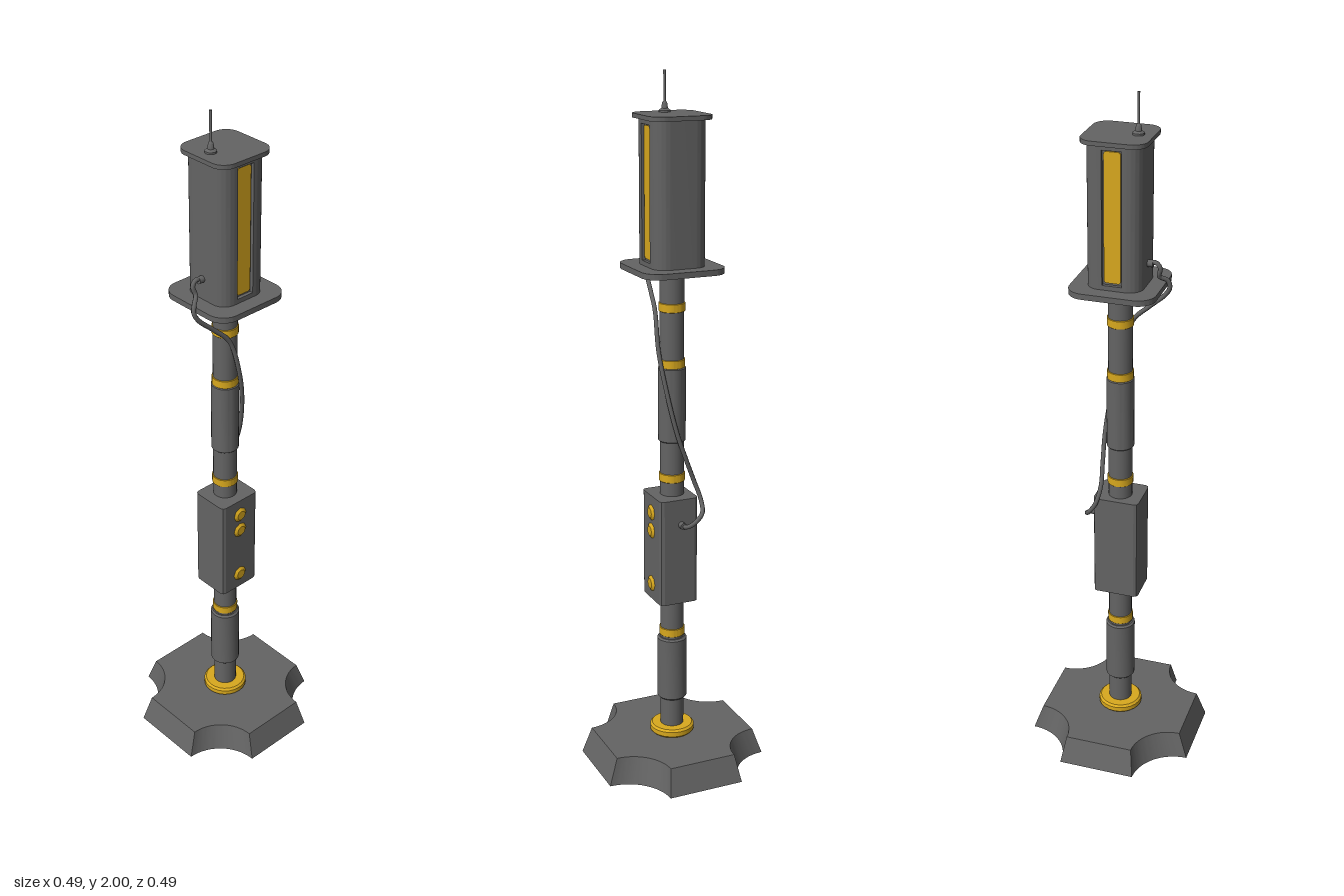
import * as THREE from 'three';
import { toCreasedNormals } from 'three/addons/utils/BufferGeometryUtils.js';

const grey = new THREE.MeshStandardMaterial({ color: 0x646464 });
grey.name = 'grey metal';
const yellow = new THREE.MeshStandardMaterial({ color: 0xd9a91e });
yellow.name = 'yellow paint';

export function createModel() {
  const root = new THREE.Group();
  root.name = 'sensorPost';

  const add = (name, geo, mat, x = 0, y = 0, z = 0) => {
    const mesh = new THREE.Mesh(geo, mat);
    mesh.name = name;
    mesh.position.set(x, y, z);
    root.add(mesh);
    return mesh;
  };

  // Extrude a plan outline upwards from y0 to y1
  const slab = (shape, height, curveSegments = 8) => {
    const g = new THREE.ExtrudeGeometry(shape, { depth: height, bevelEnabled: false, curveSegments });
    return g.rotateX(-Math.PI / 2);
  };

  // Rounded rectangle, optionally with a notch in its front and back
  const roundRect = (hw, hd, r, notchW = 0, notchD = 0) => {
    const s = new THREE.Shape();
    s.moveTo(-hw + r, -hd);
    if (notchW) {
      s.lineTo(-notchW, -hd).lineTo(-notchW, -hd + notchD);
      s.lineTo(notchW, -hd + notchD).lineTo(notchW, -hd);
    }
    s.lineTo(hw - r, -hd);
    s.absarc(hw - r, -hd + r, r, -Math.PI / 2, 0);
    s.absarc(hw - r, hd - r, r, 0, Math.PI / 2);
    if (notchW) {
      s.lineTo(notchW, hd).lineTo(notchW, hd - notchD);
      s.lineTo(-notchW, hd - notchD).lineTo(-notchW, hd);
    }
    s.absarc(-hw + r, hd - r, r, Math.PI / 2, Math.PI);
    s.absarc(-hw + r, -hd + r, r, Math.PI, Math.PI * 1.5);
    return s;
  };

  // Solid of revolution with crisp edges
  const turned = (pts, segments = 24) => toCreasedNormals(
    new THREE.LatheGeometry(pts.map(([r, y]) => new THREE.Vector2(r, y)), segments), 0.5);

  // Chamfered sleeve around the pole
  const sleeve = (r, y0, y1, c) => turned([
    [0.03, y0], [r - c, y0], [r, y0 + c], [r, y1 - c], [r - c, y1], [0.03, y1]]);

  // Foot: a square with scooped corners, tapering towards the top
  const H = 0.245, R = 0.132;
  const foot = new THREE.Shape();
  foot.moveTo(-H + R, -H);
  foot.lineTo(H - R, -H);
  foot.absarc(H, -H, R, Math.PI, Math.PI / 2, true);
  foot.absarc(H, H, R, Math.PI * 1.5, Math.PI, true);
  foot.absarc(-H, H, R, 0, -Math.PI / 2, true);
  foot.absarc(-H, -H, R, Math.PI / 2, 0, true);
  const footGeo = slab(foot, 0.078, 12);
  const p = footGeo.attributes.position;
  for (let i = 0; i < p.count; i++) {
    if (p.getY(i) > 0.04) p.setXYZ(i, p.getX(i) * 0.89, p.getY(i), p.getZ(i) * 0.89);
  }
  footGeo.computeVertexNormals();
  add('foot', toCreasedNormals(footGeo, 0.4), grey);

  // Pole with its collar, sleeves and painted bands
  add('pole', new THREE.CylinderGeometry(0.034, 0.034, 1.4, 24), grey, 0, 0.775, 0);
  add('footCollar', sleeve(0.065, 0.078, 0.104, 0.006), yellow);
  add('lowerSleeve', sleeve(0.043, 0.19, 0.385, 0.005), grey);
  add('upperSleeve', sleeve(0.039, 0.985, 1.2, 0.003), grey);
  for (const y of [0.404, 0.879, 1.211, 1.37]) {
    add('band', sleeve(0.037, y - 0.012, y + 0.012, 0.001), yellow);
  }

  // Control box with chamfered corners and three round fasteners
  add('controlBox', slab(roundRect(0.067, 0.0585, 0.012), 0.315, 1), grey, 0, 0.512, 0.0055);
  for (const y of [0.777, 0.722, 0.56]) {
    const knob = add('fastener', new THREE.CylinderGeometry(0.015, 0.024, 0.007, 8), yellow, 0, y, 0.067);
    knob.rotation.x = Math.PI / 2;
  }

  // Head: platform, slotted housing and lid
  add('platform', toCreasedNormals(slab(roundRect(0.12, 0.12, 0.05), 0.016), 0.5), grey, 0, 1.47, 0);
  add('housing', toCreasedNormals(slab(roundRect(0.077, 0.077, 0.04, 0.027, 0.01), 0.4), 0.5), grey, 0, 1.484, 0);
  add('lid', toCreasedNormals(slab(roundRect(0.09, 0.09, 0.04), 0.012), 0.5), grey, 0, 1.878, 0);

  // Light strips and the slot ends, front and back
  for (const s of [1, -1]) {
    const strip = add('lightStrip', slab(roundRect(0.023, 0.178, 0.008), 0.005, 4), yellow, 0, 1.683, s * 0.066);
    strip.rotation.x = s * Math.PI / 2;
    add('slotBottom', new THREE.BoxGeometry(0.054, 0.014, 0.01), grey, 0, 1.492, s * 0.072);
    add('slotTop', new THREE.BoxGeometry(0.054, 0.014, 0.01), grey, 0, 1.872, s * 0.072);
  }

  // Antenna on the lid
  add('antenna', turned([[0.016, 1.889], [0.016, 1.895], [0.009, 1.9], [0.007, 1.914],
    [0.0035, 1.919], [0.0035, 2.0], [0, 2.0]], 12), grey, -0.048, 0, 0);

  // Cable winding from the housing, round the pole, to the control box
  const path = new THREE.CatmullRomCurve3([
    [-0.072, 1.545, -0.003], [-0.1, 1.55, -0.004], [-0.111, 1.535, -0.003], [-0.106, 1.51, 0.003],
    [-0.125, 1.495, 0.018], [-0.131, 1.475, 0.023], [-0.118, 1.45, 0.027], [-0.07, 1.405, 0.034],
    [-0.022, 1.355, 0.041], [0.01, 1.25, 0.045], [0.034, 1.14, 0.032], [0.047, 1.02, 0.006],
    [0.045, 0.93, -0.026], [0.043, 0.87, -0.049], [0.056, 0.815, -0.065], [0.077, 0.783, -0.06],
    [0.092, 0.762, -0.03], [0.09, 0.752, -0.006], [0.062, 0.752, 0]
  ].map((v) => new THREE.Vector3(...v)));
  add('cable', new THREE.TubeGeometry(path, 120, 0.0065, 8), grey);

  // Plugs at both cable ends
  for (const [x, y, z] of [[-0.082, 1.546, -0.003], [0.073, 0.752, 0]]) {
    const plug = add('cablePlug', new THREE.CylinderGeometry(0.01, 0.01, 0.02, 10), grey, x, y, z);
    plug.rotation.z = Math.PI / 2;
  }

  return root;
}
